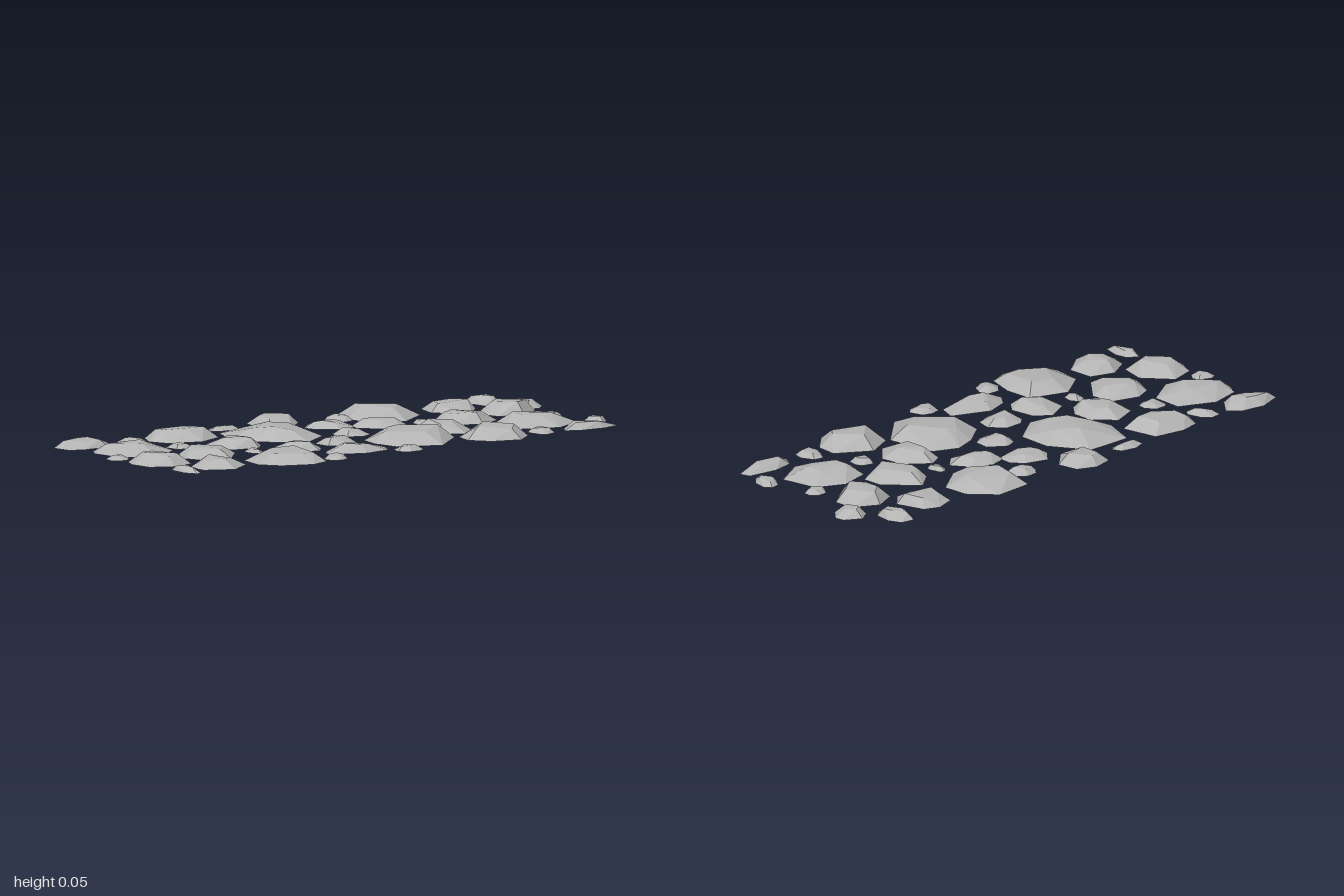
import * as THREE from 'three';
import { ConvexGeometry } from 'three/addons/geometries/ConvexGeometry.js';

const BASE = 0.005;

// small seeded generator so every stone keeps its shape
function seeded(seed) {
  let s = (seed * 7919 + 17) % 233280;
  const next = () => (s = (s * 9301 + 49297) % 233280) / 233280;
  next(); next();
  return next;
}

// faceted dome over a flat outline [[x, z], ...], open underneath
function domeGeometry(outline, height, base, rand) {
  const n = outline.length;
  const cx = outline.reduce((a, p) => a + p[0], 0) / n;
  const cz = outline.reduce((a, p) => a + p[1], 0) / n;
  const points = outline.map(([x, z]) => new THREE.Vector3(x, base, z));
  // irregular crown: a few raised corners between centre and rim
  const crown = 5, start = rand() * n;
  for (let i = 0; i < crown; i++) {
    const [x, z] = outline[Math.floor(start + (i * n) / crown) % n];
    const k = 0.38 + rand() * 0.3;
    const y = i === 0 ? height : base + (height - base) * (0.72 + rand() * 0.26);
    points.push(new THREE.Vector3(cx + (x - cx) * k, y, cz + (z - cz) * k));
  }
  const hull = new ConvexGeometry(points);
  // drop the faces lying on the ground
  const p = hull.attributes.position, kept = [];
  for (let i = 0; i < p.count; i += 3) {
    const top = Math.max(p.getY(i), p.getY(i + 1), p.getY(i + 2));
    if (top < base + 1e-4) continue;
    for (let j = i; j < i + 3; j++) kept.push(p.getX(j), p.getY(j), p.getZ(j));
  }
  const geometry = new THREE.BufferGeometry();
  geometry.setAttribute('position', new THREE.Float32BufferAttribute(kept, 3));
  geometry.computeVertexNormals();
  return geometry;
}

// irregular rounded polygon filling a box; lean shears it sideways
function pebbleOutline(cx, cz, w, d, lean, rand) {
  const n = 7, turn = rand() * 6.28;
  let pts = [];
  for (let i = 0; i < n; i++) {
    const a = turn + ((i + (rand() - 0.5) * 0.5) / n) * Math.PI * 2;
    pts.push([Math.cos(a) + lean * Math.sin(a), Math.sin(a)]);
  }
  const fit = (axis, centre, size) => {
    const v = pts.map(p => p[axis]), lo = Math.min(...v), hi = Math.max(...v);
    pts.forEach(p => { p[axis] = centre + ((p[axis] - lo) / (hi - lo) - 0.5) * size; });
  };
  fit(0, cx, w);
  fit(1, cz, d);
  return pts;
}

export function createModel() {
  const group = new THREE.Group();
  group.name = 'steppingStones';
  const stoneGrey = new THREE.MeshStandardMaterial({ color: 0xb4b4b4, flatShading: true, side: THREE.DoubleSide });
  stoneGrey.name = 'stoneGrey';
  let count = 0;
  const add = (name, outline, height, base, rand) => {
    const mesh = new THREE.Mesh(domeGeometry(outline, height, base, rand), stoneGrey);
    mesh.name = name + count;
    group.add(mesh);
  };

  // big slabs: height, then outline corners x, z
  const slab = (height, ...c) => {
    const outline = [];
    for (let i = 0; i < c.length; i += 2) outline.push([c[i], c[i + 1]]);
    add('slab', outline, height, BASE, seeded(++count));
  };
  slab(0.05, -0.37, -0.19, -0.31, -0.33, -0.13, -0.33, -0.05, -0.19, -0.06, -0.06, -0.19, 0.03, -0.28, -0.03, -0.35, -0.11);
  slab(0.054, -0.03, 0.2, -0.01, 0.11, 0.09, 0.04, 0.18, 0.01, 0.27, 0.05, 0.29, 0.24, 0.14, 0.37, -0.01, 0.3);
  slab(0.042, -0.65, 0.35, -0.63, 0.24, -0.51, 0.16, -0.37, 0.21, -0.37, 0.32, -0.41, 0.43, -0.49, 0.46, -0.6, 0.42);
  slab(0.045, 0.57, 0.16, 0.61, 0.05, 0.73, 0.02, 0.83, 0.07, 0.85, 0.21, 0.72, 0.28, 0.58, 0.23);
  slab(0.055, 0.24, -0.32, 0.28, -0.43, 0.43, -0.44, 0.51, -0.35, 0.51, -0.25, 0.38, -0.16, 0.26, -0.2);
  slab(0.042, -0.95, -0.2, -0.92, -0.25, -0.8, -0.28, -0.67, -0.22, -0.68, -0.1, -0.81, -0.02, -0.93, -0.07);
  slab(0.045, -0.63, -0.31, -0.59, -0.39, -0.51, -0.41, -0.39, -0.39, -0.37, -0.25, -0.48, -0.2, -0.6, -0.24);
  slab(0.052, 0.28, 0.33, 0.3, 0.25, 0.41, 0.2, 0.53, 0.28, 0.52, 0.36, 0.44, 0.43, 0.33, 0.4);
  slab(0.04, -0.77, 0.08, -0.72, -0.02, -0.65, -0.05, -0.55, -0.02, -0.54, 0.07, -0.64, 0.18, -0.75, 0.13);
  slab(0.045, -1, 0.08, -0.97, 0.02, -0.87, -0.01, -0.79, 0.09, -0.82, 0.19, -0.91, 0.21, -0.99, 0.17);
  slab(0.045, 0.44, -0.06, 0.47, -0.12, 0.55, -0.18, 0.65, -0.07, 0.65, 0.01, 0.55, 0.06, 0.45, 0.01);
  slab(0.04, -0.12, -0.37, -0.1, -0.45, -0.02, -0.47, 0.05, -0.44, 0.06, -0.36, -0.03, -0.28, -0.11, -0.31);
  slab(0.04, -0.88, 0.3, -0.86, 0.24, -0.77, 0.19, -0.68, 0.22, -0.68, 0.32, -0.78, 0.39, -0.88, 0.34);
  slab(0.042, 0.29, 0.05, 0.3, -0.01, 0.36, -0.04, 0.44, 0.03, 0.45, 0.12, 0.37, 0.2, 0.29, 0.16);
  slab(0.038, -0.31, 0.29, -0.27, 0.24, -0.18, 0.21, -0.04, 0.27, -0.07, 0.34, -0.18, 0.36, -0.29, 0.32);
  slab(0.05, 0.69, -0.11, 0.71, -0.18, 0.8, -0.22, 0.89, -0.17, 0.89, -0.09, 0.79, -0.02, 0.7, -0.06);

  // smaller stones: centre x, z, width, depth, height, lean, ground level
  const pebble = (cx, cz, w, d, h, lean = 0, base = BASE) => {
    const rand = seeded(++count);
    add('pebble', pebbleOutline(cx, cz, w, d, lean, rand), h, base, rand);
  };
  // back row
  pebble(-0.87, -0.36, 0.23, 0.13, 0.035);
  pebble(-0.68, -0.33, 0.09, 0.11, 0.022, 0.3);
  pebble(-0.25, -0.39, 0.13, 0.07, 0.02);
  pebble(0.2, -0.32, 0.1, 0.1, 0.025);
  pebble(0.66, -0.29, 0.19, 0.19, 0.04);
  pebble(0.85, -0.34, 0.1, 0.15, 0.035);
  pebble(0.94, -0.21, 0.12, 0.12, 0.03, 0, 0);
  // middle rows
  pebble(-0.62, -0.14, 0.09, 0.09, 0.02);
  pebble(-0.45, -0.07, 0.19, 0.21, 0.04);
  pebble(0.08, -0.22, 0.17, 0.15, 0.032, 0.3);
  pebble(0.24, -0.12, 0.19, 0.155, 0.035, 0.4);
  pebble(0.39, -0.09, 0.05, 0.08, 0.02);
  pebble(0.86, 0.04, 0.085, 0.075, 0.02);
  pebble(-0.96, -0.05, 0.085, 0.08, 0.02);
  pebble(-0.48, 0.1, 0.06, 0.08, 0.02);
  pebble(-0.32, 0.12, 0.17, 0.19, 0.035);
  pebble(-0.12, 0.11, 0.15, 0.135, 0.032);
  pebble(0.04, -0.03, 0.13, 0.13, 0.03);
  pebble(0.52, 0.15, 0.08, 0.09, 0.025);
  pebble(0.91, 0.23, 0.09, 0.11, 0.025, -0.4);
  // front row
  pebble(-0.94, 0.32, 0.065, 0.145, 0.025);
  pebble(-0.34, 0.39, 0.1, 0.095, 0.022, -0.3);
  pebble(-0.02, 0.38, 0.11, 0.09, 0.022);
  pebble(0.6, 0.33, 0.085, 0.11, 0.025);
  pebble(0.8, 0.34, 0.23, 0.085, 0.032);
  return group;
}
